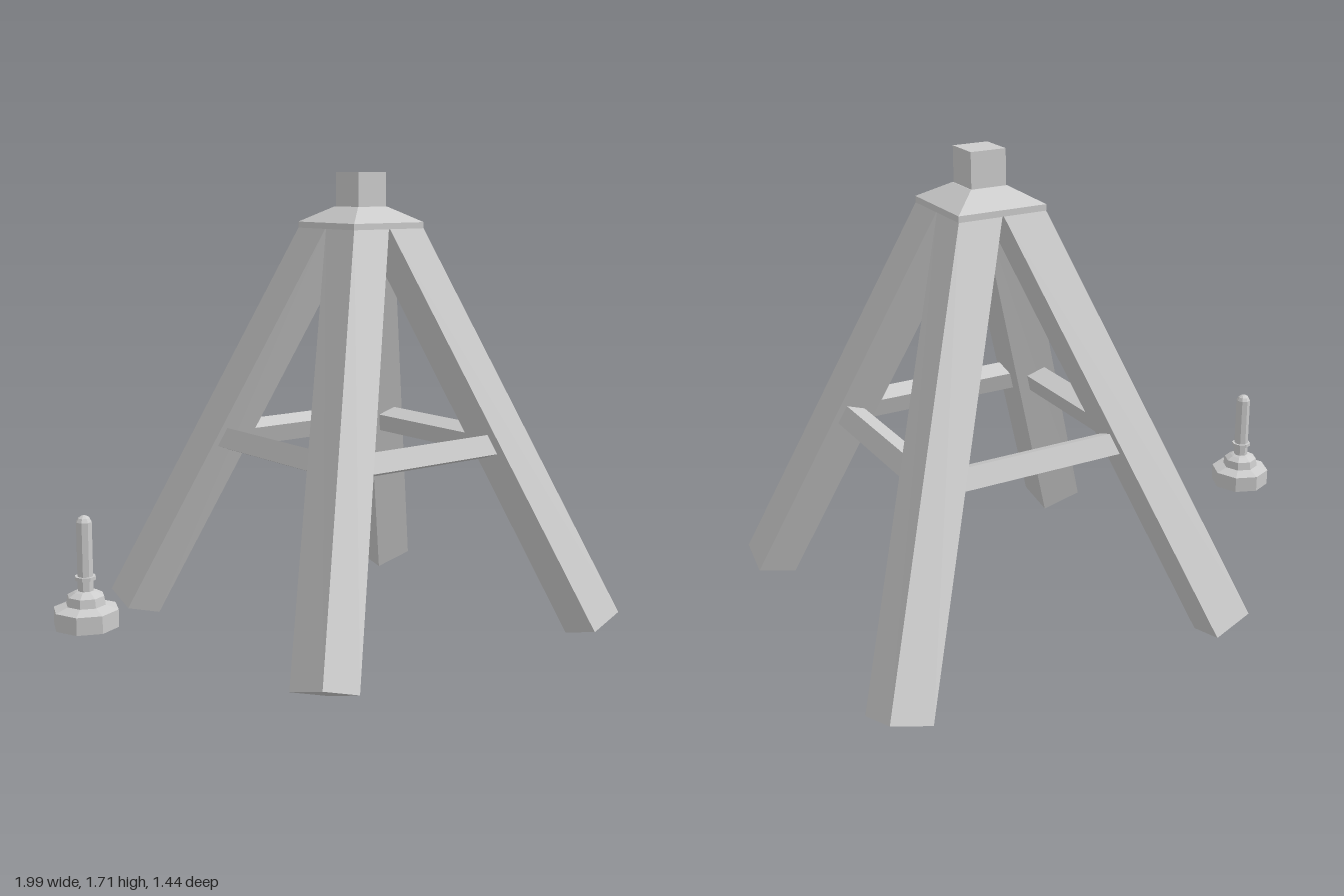
import * as THREE from 'three';

const material = new THREE.MeshStandardMaterial({ color: 0xcccccc, flatShading: true });

function addPart(parent, name, geometry, x = 0, y = 0, z = 0) {
  const mesh = new THREE.Mesh(geometry, material);
  mesh.name = name;
  mesh.position.set(x, y, z);
  parent.add(mesh);
  return mesh;
}

// Solid between two four-cornered loops
function loft(bottom, top) {
  const positions = [];
  const quad = (a, b, c, d) => positions.push(...a, ...b, ...c, ...a, ...c, ...d);
  for (let i = 0; i < 4; i++) {
    const j = (i + 1) % 4;
    quad(bottom[i], top[i], top[j], bottom[j]);
  }
  quad(...bottom);
  quad(top[3], top[2], top[1], top[0]);
  const geometry = new THREE.BufferGeometry();
  geometry.setAttribute('position', new THREE.Float32BufferAttribute(positions, 3));
  geometry.computeVertexNormals();
  return geometry;
}

// Square-based frustum with sides parallel to the axes
function squareFrustum(halfTop, halfBottom, height) {
  const geometry = new THREE.CylinderGeometry(halfTop * Math.SQRT2, halfBottom * Math.SQRT2, height, 4);
  return geometry.rotateY(Math.PI / 4);
}

export function createModel() {
  const model = new THREE.Group();
  model.name = 'fourLeggedStand';

  const stand = new THREE.Group();
  stand.name = 'stand';
  stand.position.x = 0.272;
  model.add(stand);

  // Splayed beam, cut square at the foot and level under the cap
  const legGeometry = loft(
    [[0.69, 0.045, 0.555], [0.68, 0.088, 0.70], [0.53, 0.045, 0.72], [0.545, 0, 0.565]],
    [[0.16, 1.51, 0], [0.16, 1.51, 0.16], [0, 1.51, 0.16], [0, 1.51, 0]]
  );
  const braceGeometry = new THREE.BoxGeometry(0.66, 0.075, 0.075);

  // Four legs and four braces, repeated by quarter turns
  for (let i = 0; i < 4; i++) {
    const side = new THREE.Group();
    side.name = 'legAndBrace' + (i + 1);
    side.rotation.y = i * Math.PI / 2;
    addPart(side, 'leg', legGeometry);
    addPart(side, 'brace', braceGeometry, 0, 0.713, 0.383).rotation.x = -0.35;
    stand.add(side);
  }

  // Cap: thin plate, sloped shoulder and square block
  addPart(stand, 'capPlate', new THREE.BoxGeometry(0.326, 0.022, 0.326), 0, 1.514, 0);
  addPart(stand, 'capShoulder', squareFrustum(0.068, 0.163, 0.056), 0, 1.553, 0);
  addPart(stand, 'capBlock', new THREE.BoxGeometry(0.13, 0.127, 0.13), 0, 1.642, 0);

  // Separate levelling foot: stepped octagonal base and threaded post
  const foot = new THREE.Group();
  foot.name = 'levellingFoot';
  foot.position.set(-0.888, 0.215, -0.01);
  model.add(foot);

  const lathe = (points) => new THREE.LatheGeometry(points.map(([r, y]) => new THREE.Vector2(r, y)), 8);
  addPart(foot, 'footBase', lathe([
    [0, 0], [0.1115, 0], [0.1115, 0.06], [0.068, 0.075], [0.063, 0.105],
    [0.04, 0.118], [0.03, 0.122], [0, 0.122]
  ]));
  addPart(foot, 'post', lathe([
    [0.027, 0.115], [0.027, 0.355], [0.02, 0.368], [0.009, 0.375], [0, 0.377]
  ]));
  addPart(foot, 'postCollar', new THREE.CylinderGeometry(0.036, 0.036, 0.012, 8), 0, 0.165, 0);

  return model;
}
